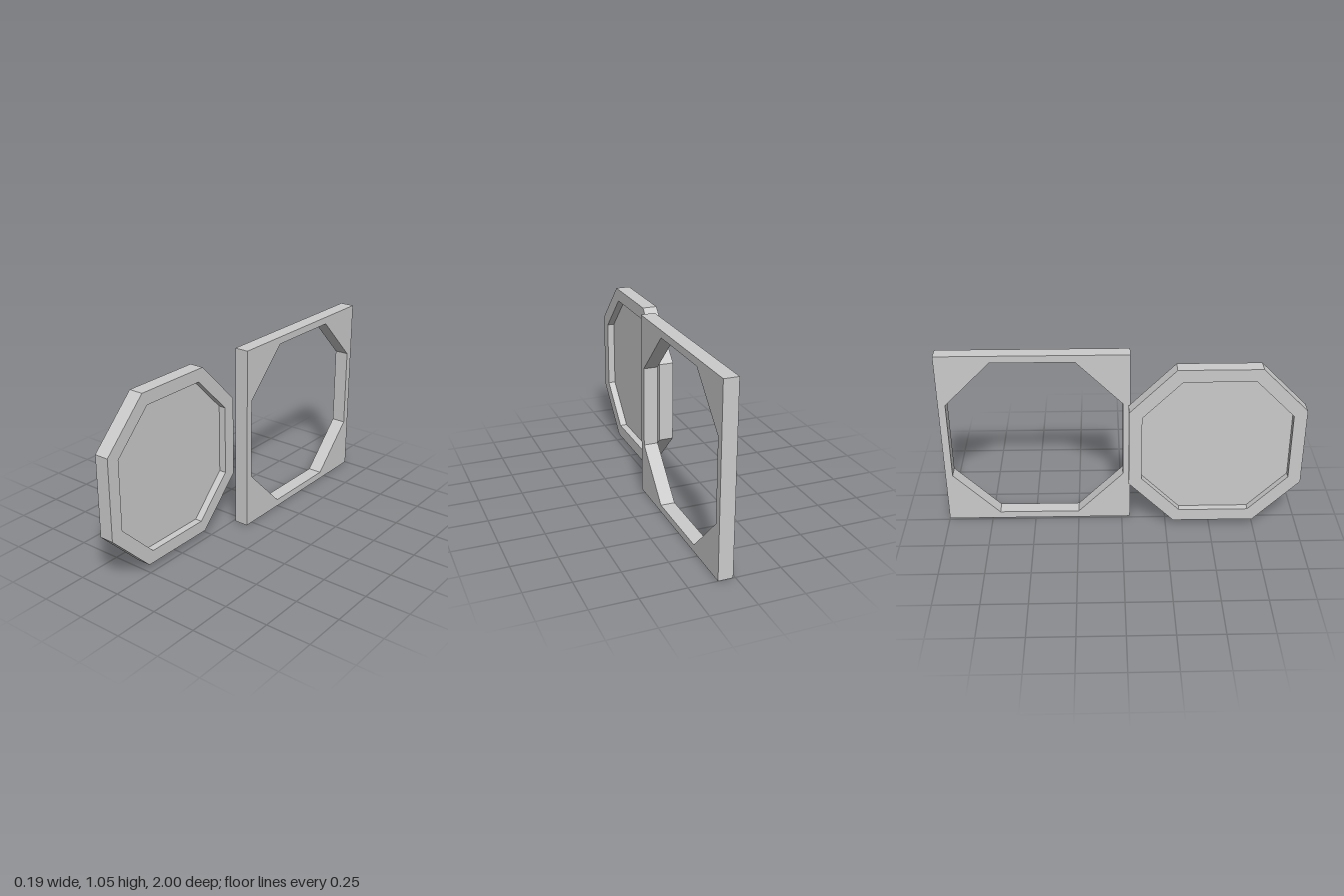
import * as THREE from 'three';

const THICKNESS = 0.081;
const MID_Y = 0.5235;

// Outline of a square with cut corners: half = half width, flat = half length of each straight side
function octagon(half, flat, Type = THREE.Shape) {
  const p = [
    [half, -flat], [half, flat], [flat, half], [-flat, half],
    [-half, flat], [-half, -flat], [-flat, -half], [flat, -half],
  ];
  return new Type(p.map(([x, y]) => new THREE.Vector2(x, y)));
}

function square(half) {
  return new THREE.Shape([[-1, -1], [1, -1], [1, 1], [-1, 1]].map(([x, y]) => new THREE.Vector2(x * half, y * half)));
}

// Ring of constant thickness, centred on its own plane and turned to face sideways
function ring(name, outer, hole, material) {
  outer.holes.push(hole);
  const geometry = new THREE.ExtrudeGeometry(outer, { depth: THICKNESS, bevelEnabled: false });
  geometry.translate(0, 0, -THICKNESS / 2).rotateY(Math.PI / 2);
  const mesh = new THREE.Mesh(geometry, material);
  mesh.name = name;
  return mesh;
}

export function createModel() {
  const model = new THREE.Group();
  model.name = 'octagonalHatch';
  const grey = new THREE.MeshStandardMaterial({ color: 0xcccccc, flatShading: true });
  const thin = new THREE.MeshStandardMaterial({ color: 0xcccccc, flatShading: true, side: THREE.DoubleSide });

  // Square surround with an octagonal opening
  const frame = ring('frame', square(0.5235), octagon(0.483, 0.228, THREE.Path), grey);
  frame.position.set(0.052, MID_Y, -0.4765);
  model.add(frame);

  // Octagonal door: raised rim around a thin panel set halfway through its depth
  const door = new THREE.Group();
  door.name = 'door';
  door.add(ring('doorRim', octagon(0.4815, 0.2275), octagon(0.41, 0.195, THREE.Path), grey));
  const panel = new THREE.Mesh(new THREE.ShapeGeometry(octagon(0.41, 0.195)).rotateY(Math.PI / 2), thin);
  panel.name = 'doorPanel';
  door.add(panel);
  door.position.set(-0.052, MID_Y, 0.5185);
  model.add(door);

  return model;
}
